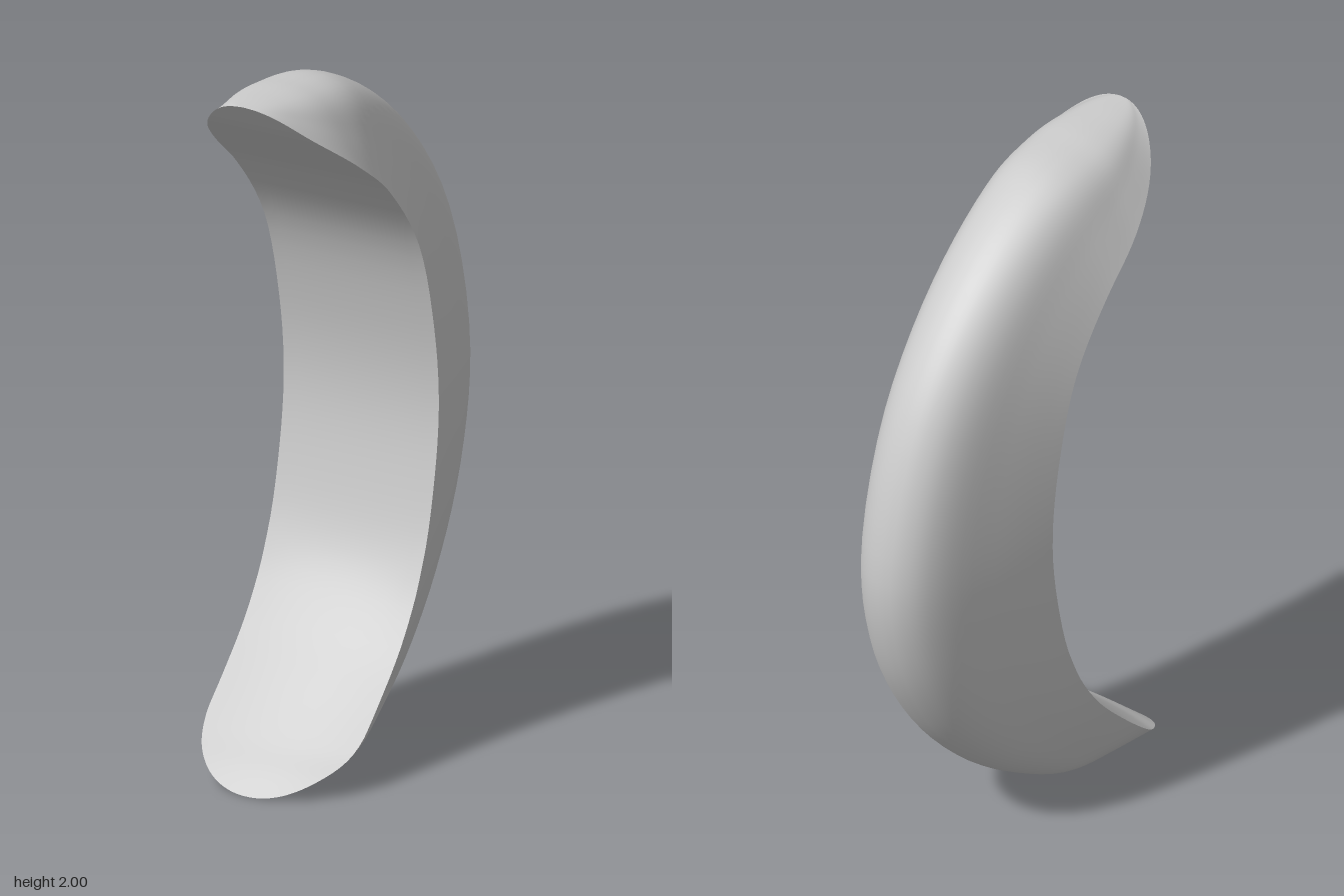
import * as THREE from 'three';

// [inner z, inner y, outer z, outer y] from the upper tip to the lower tip
const STATIONS = [
  [0.535, 2, 0.535, 2], [0.45, 1.91, 0.43, 2], [0.3, 1.79, 0.3, 1.995],
  [0.165, 1.675, 0.12, 1.965], [0.015, 1.475, -0.16, 1.785], [-0.065, 1.21, -0.41, 1.47],
  [-0.09, 0.98, -0.532, 1.02], [-0.065, 0.76, -0.49, 0.71], [0, 0.535, -0.36, 0.44],
  [0.11, 0.375, -0.18, 0.22], [0.245, 0.24, -0.02, 0.095], [0.38, 0.115, 0.13, 0.018],
  [0.455, 0.055, 0.3, 0.008], [0.515, 0, 0.515, 0],
];
// Half cross-section: [width fraction, depth fraction] from inner edge to spine
const SECTION = [[1, 0], [0.87, 0.25], [0.75, 0.47], [0.62, 0.7], [0.5, 0.84], [0.36, 0.93], [0.18, 0.985], [0, 1]];
const HALF_WIDTH = 0.242;
const ROWS = 96;

const spline = (points) => new THREE.CatmullRomCurve3(points);
const innerCurve = spline(STATIONS.map(([z, y]) => new THREE.Vector3(0, y, z)));
const outerCurve = spline(STATIONS.map(([, , z, y]) => new THREE.Vector3(0, y, z)));

// Full section, mirrored across the spine
const half = new THREE.SplineCurve(SECTION.map(([x, d]) => new THREE.Vector2(x, d))).getPoints(20);
const section = [...half, ...half.slice(0, -1).reverse().map((p) => new THREE.Vector2(-p.x, p.y))];

// Rounded plan of each tip, following the inner curve
function halfWidth(p) {
  const [start, length] = p.y > 1 ? [0.19, 0.345] : [0.32, 0.195];
  const t = THREE.MathUtils.clamp((p.z - start) / length, 0, 1);
  return HALF_WIDTH * Math.sqrt(1 - t * t);
}

// Grid surface from a rule giving one row of points per station
function loft(rowAt) {
  const position = [], index = [];
  let n = 0;
  for (let i = 0; i <= ROWS; i++) {
    const u = THREE.MathUtils.clamp((1 - Math.cos((Math.PI * i) / ROWS)) / 2, 0.0003, 0.9997);
    const inner = innerCurve.getPoint(u), outer = outerCurve.getPoint(u);
    // The inner face is gently domed towards the lower end
    const sink = u > 0.62 ? 0.1 * Math.sin((Math.PI * (u - 0.62)) / 0.38) : 0;
    const row = rowAt(inner, outer, halfWidth(inner), sink);
    n = row.length;
    row.forEach((p) => position.push(p.x, p.y, p.z));
  }
  for (let i = 0; i < ROWS; i++) {
    for (let j = 0; j < n - 1; j++) {
      const a = i * n + j, b = a + n;
      index.push(a, b, a + 1, b, b + 1, a + 1);
    }
  }
  const geometry = new THREE.BufferGeometry();
  geometry.setAttribute('position', new THREE.Float32BufferAttribute(position, 3));
  geometry.setIndex(index);
  geometry.computeVertexNormals();
  return geometry;
}

export function createModel() {
  const group = new THREE.Group();
  group.name = 'crescent';
  const material = new THREE.MeshStandardMaterial({ color: 0xcccccc, side: THREE.DoubleSide });
  const add = (name, geometry) => {
    const mesh = new THREE.Mesh(geometry, material);
    mesh.name = name;
    group.add(mesh);
  };

  // Side walls and rounded back
  add('outerShell', loft((inner, outer, w, sink) => section.map((s) => {
    const p = inner.clone().lerp(outer, sink + (1 - sink) * s.y);
    p.x = w * s.x;
    return p;
  })));

  // Concave front face
  add('innerFace', loft((inner, outer, w, sink) => Array.from({ length: 13 }, (_, j) => {
    const x = j / 6 - 1;
    const p = inner.clone().lerp(outer, sink * x * x);
    p.x = w * x;
    return p;
  })));

  return group;
}
